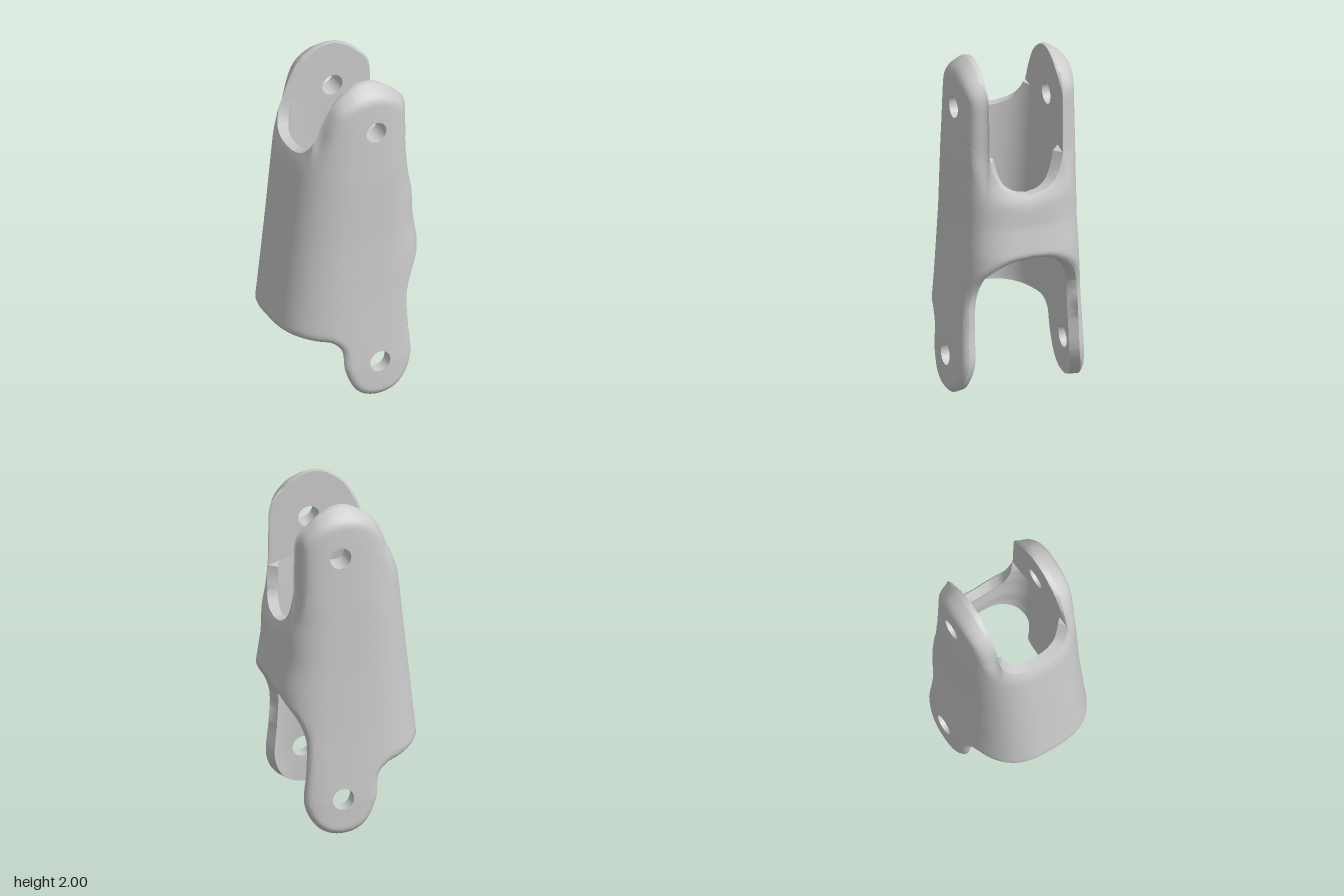
import * as THREE from 'three';
import { toCreasedNormals } from 'three/addons/utils/BufferGeometryUtils.js';

const CX = 0.08;      // axis the cross-sections are measured from
const ARC = 0.35;     // turns an angle into a rough length along the wall
const HOLE_R = 0.063;
const WALL = 0.075;   // sleeve wall thickness
const SLOT = 0.22;    // half width of the slot between the upper lugs

// linear lookup in [[y, value], ...]
function at(table, y) {
  for (let i = 1; i < table.length; i++) {
    const [y0, v0] = table[i - 1], [y1, v1] = table[i];
    if (y <= y1) return v0 + (v1 - v0) * Math.max(0, (y - y0) / (y1 - y0));
  }
  return table[table.length - 1][1];
}

// outer cross-section limits by height
const LEFT = [[0, -0.44], [0.45, -0.433], [1.55, -0.315], [2, -0.285]];
const RIGHT = [[0, 0.45], [0.6, 0.45], [0.88, 0.44], [1.05, 0.413], [1.2, 0.408], [1.32, 0.392], [2, 0.395]];
const DEPTH = [[0, 0.4], [0.2, 0.398], [0.6, 0.374], [1, 0.358], [1.4, 0.355], [1.8, 0.345], [2, 0.335]];

// superelliptic skin, set in from the outer limits
function sleeveSkin(inset) {
  const section = (y, right) => ({
    a: (right ? at(RIGHT, y) - CX : CX - at(LEFT, y)) - inset,
    b: at(DEPTH, y) - inset,
    n: right ? 3.1 : 2.7,
  });
  return {
    radius(phi, y) {
      const c = Math.cos(phi), { a, b, n } = section(y, c >= 0);
      return Math.pow(Math.pow(Math.abs(c) / a, n) + Math.pow(Math.abs(Math.sin(phi)) / b, n), -1 / n);
    },
    // direction of the section point that has this x
    phi(x, y) {
      const { a, b, n } = section(y, x >= CX);
      const u = Math.min(1, Math.abs(x - CX) / a);
      return Math.atan2(b * Math.pow(1 - Math.pow(u, n), 1 / n), x - CX);
    },
  };
}
const OUTER = sleeveSkin(0), CAVITY = sleeveSkin(WALL);
// flat inner faces of the upper lugs
const FLAT = {
  radius: phi => SLOT / Math.max(1e-3, Math.sin(phi)),
  phi: x => Math.atan2(SLOT, x - CX),
};

// rim outlines of one half, from the right side over the plate to the left: [x, y] or [x, y, z]
const TOP = [[0.4, 1.235, 0], [0.4, 1.258, 0.11], [0.38, 1.32, 0.19], [0.365, 1.45, 0.238],
  [0.362, 1.66, 0.244], [0.352, 1.82], [0.285, 1.93], [0.182, 1.985], [0.06, 2], [-0.065, 1.975],
  [-0.17, 1.9], [-0.22, 1.79], [-0.26, 1.69, 0.25], [-0.29, 1.6, 0.195], [-0.31, 1.56, 0.1], [-0.31, 1.55, 0]];
const BOTTOM = [[0.43, 0.865, 0], [0.42, 0.85, 0.12], [0.385, 0.795, 0.22], [0.335, 0.7, 0.3],
  [0.31, 0.58], [0.314, 0.4], [0.328, 0.2], [0.258, 0.06], [0.1, 0], [-0.05, 0.06],
  [-0.117, 0.2], [-0.13, 0.32], [-0.18, 0.38], [-0.28, 0.405], [-0.39, 0.43, 0.18], [-0.43, 0.442, 0]];

const STEP = 8;
function outline(points) {
  const curve = new THREE.CatmullRomCurve3(points.map(([x, y, z]) => new THREE.Vector3(
    z === undefined ? OUTER.phi(x, y) : Math.atan2(z, x - CX), y, 0)));
  const n = (points.length - 1) * STEP;
  return Array.from({ length: n + 1 }, (_, i) => {
    const p = curve.getPoint(i / n);
    return [p.x, p.y];
  });
}
const lerp2 = (p, q, t) => [p[0] + (q[0] - p[0]) * t, p[1] + (q[1] - p[1]) * t];

// distance along the wall from a point to an outline
function distance(line, phi, y) {
  let best = Infinity;
  for (let i = 1; i < line.length; i++) {
    const [p, q] = [line[i - 1], line[i]];
    const ex = (q[0] - p[0]) * ARC, ey = q[1] - p[1];
    const dx = (phi - p[0]) * ARC, dy = y - p[1];
    const t = Math.min(1, Math.max(0, (dx * ex + dy * ey) / (ex * ex + ey * ey)));
    best = Math.min(best, Math.hypot(dx - ex * t, dy - ey * t));
  }
  return best;
}

// replaces the lug part of an outline by a straight line
function bridged(line, i0, i1) {
  return line.map((p, i) => (i > i0 && i < i1 ? lerp2(line[i0], line[i1], (i - i0) / (i1 - i0)) : p));
}

export function createModel() {
  const top = outline(TOP), bottom = outline(BOTTOM);
  const positions = [];

  // point on a skin; the outer one rolls inward as it nears a rim
  function place([phi, y], skin) {
    let r = skin.radius(phi, y);
    if (skin === OUTER) {
      const plate = THREE.MathUtils.clamp(r - FLAT.radius(phi), 0.025, 0.12);
      const kt = Math.max(0, 1 - distance(top, phi, y) / 0.1);
      const kb = Math.max(0, 1 - distance(bottom, phi, y) / 0.04);
      r -= Math.max(0.75 * plate * kt * kt, 0.022 * kb * kb);
    }
    return [CX + r * Math.cos(phi), y, r * Math.sin(phi)];
  }
  const row = (points, skin) => points.map(p => place(p, skin));

  // quads over rows of points, together with the mirrored half
  function sheet(rows, flip) {
    for (let j = 0; j + 1 < rows.length; j++) {
      for (let k = 0; k + 1 < rows[j].length; k++) {
        const a = rows[j][k], b = rows[j][k + 1], c = rows[j + 1][k + 1], d = rows[j + 1][k];
        for (const side of [1, -1]) {
          const order = flip === (side > 0) ? [a, b, c, a, c, d] : [a, d, c, a, c, b];
          for (const p of order) positions.push(p[0], p[1], p[2] * side);
        }
      }
    }
  }

  // main sleeve between the lugs
  const topCut = [3 * STEP, 12 * STEP], bottomCut = [5 * STEP, 12 * STEP];
  const upper = bridged(top, ...topCut), lower = bridged(bottom, ...bottomCut);
  const ROWS = 28;
  for (const skin of [OUTER, CAVITY]) {
    const rows = [];
    for (let j = 0; j <= ROWS; j++) {
      const v = 0.5 - 0.5 * Math.cos(Math.PI * j / ROWS);
      rows.push(row(lower.map((p, k) => lerp2(p, upper[k], v)), skin));
    }
    sheet(rows, skin === CAVITY);
  }

  // slanted ledge from the cavity to the flat lug faces
  const ledge = upper.slice(topCut[0], topCut[1] + 1);
  sheet([row(ledge, CAVITY), row(ledge, FLAT)], true);

  // pierced lugs: rings from the pin hole out to the outline
  function lug(line, chord, [i0, i1], hy, innerSkin, clockwise) {
    const loop = [...line.slice(i0, i1 + 1), ...chord.slice(i0, i1).reverse()];
    const hx = 0.1, rims = [];
    for (const skin of [OUTER, innerSkin]) {
      const hole = loop.map(([phi, y]) => {
        const x = CX + OUTER.radius(phi, y) * Math.cos(phi);
        const w = Math.atan2(y - hy, x - hx);
        const px = hx + HOLE_R * Math.cos(w), py = hy + HOLE_R * Math.sin(w);
        return [skin.phi(px, py), py];
      });
      const rows = [];
      for (let j = 0; j <= 12; j++) {
        const v = 1 - Math.pow(1 - j / 12, 1.5);
        rows.push(row(loop.map((p, k) => lerp2(hole[k], p, v)), skin));
      }
      sheet(rows, (skin !== OUTER) !== clockwise);
      rims.push(rows[0]);
    }
    sheet(rims, !clockwise); // pin hole wall
  }
  lug(top, upper, topCut, 1.72, FLAT, false);
  lug(bottom, lower, bottomCut, 0.22, CAVITY, true);

  // rim faces joining outer and inner skins
  function rim(points, skin, flip) {
    sheet([row(points, OUTER), row(points, skin)], flip);
  }
  rim(top.slice(0, topCut[0] + 1), CAVITY, false);
  rim(top.slice(topCut[0], topCut[1] + 1), FLAT, false);
  rim(top.slice(topCut[1]), CAVITY, false);
  rim(bottom, CAVITY, true);

  const geometry = new THREE.BufferGeometry();
  geometry.setAttribute('position', new THREE.Float32BufferAttribute(positions, 3));
  const shell = new THREE.Mesh(
    toCreasedNormals(geometry, 0.8),
    new THREE.MeshStandardMaterial({ color: 0xcccccc }));
  shell.name = 'hollowLinkShell';

  const group = new THREE.Group();
  group.name = 'hingedLink';
  group.add(shell);
  return group;
}
